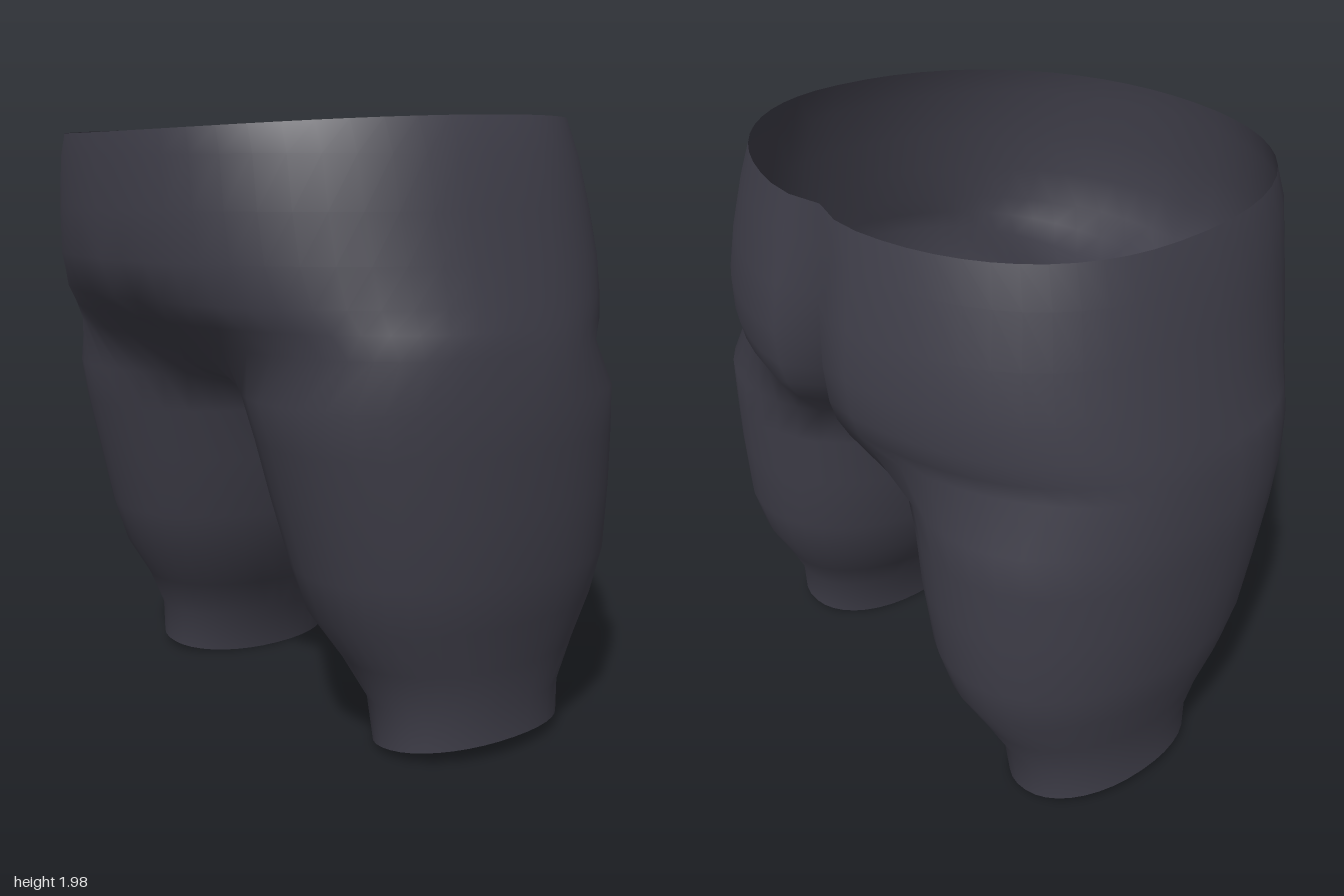
import * as THREE from 'three';
import { mergeVertices } from 'three/addons/utils/BufferGeometryUtils.js';

const OUTER = 28; // columns from front centre round the hip to back centre
const INNER = 10; // columns from back centre through the crotch to the front
const COLS = OUTER + INNER;
const SPLIT = 0.75; // how far the front and back seams turn inwards on a leg

// leg sections: y, inner x, outer x, front z, back z, dip of the inner side
const LEG = [
  [0.00, 0.42, 0.86, 0.20, -0.49, 0],
  [0.16, 0.39, 0.86, 0.21, -0.50, 0],
  [0.30, 0.30, 0.89, 0.28, -0.57, 0],
  [0.45, 0.21, 0.93, 0.38, -0.65, 0],
  [0.60, 0.16, 0.965, 0.43, -0.69, 0],
  [0.82, 0.105, 0.985, 0.485, -0.705, 0],
  [1.00, 0.075, 0.995, 0.53, -0.71, 0],
  [1.14, 0.03, 1.00, 0.56, -0.715, 0.07],
];

// hip sections: y, side x, front z, back z, front squareness, front dip, back cleft
const HIP = [
  [1.29, 0.985, 0.62, -0.76, 2.9, 0.07, 0.12],
  [1.36, 0.975, 0.69, -0.80, 2.5, 0.01, 0.13],
  [1.43, 0.96, 0.77, -0.82, 2.2, 0, 0.12],
  [1.55, 0.935, 0.815, -0.83, 2.1, 0, 0.10],
  [1.70, 0.90, 0.825, -0.81, 2.1, 0, 0.08],
  [1.86, 0.865, 0.825, -0.77, 2.1, 0, 0.06],
  [1.97, 0.82, 0.82, -0.74, 2.1, 0, 0.04],
];

const power = (v, n) => Math.sign(v) * Math.abs(v) ** (2 / n);

function legPoint([y, xi, xo, zf, zb, dip], j) {
  const s = (j - OUTER) / INNER;
  const a = j <= OUTER
    ? -SPLIT + (j / OUTER) * (Math.PI + 2 * SPLIT)
    : Math.PI + SPLIT + s * (Math.PI - 2 * SPLIT);
  const x = (xi + xo) / 2 + ((xo - xi) / 2) * power(Math.sin(a), 2.15);
  const z = (zf + zb) / 2 + ((zf - zb) / 2) * power(Math.cos(a), 2.15);
  let h = y - (s > 0 ? dip * Math.sin(Math.PI * s) : 0);
  if (y === 0) h = 0.05 * (x - xi) / (xo - xi); // slanted hem
  return [x, h, z];
}

function hipPoint([y, xs, zf, zb, n, dip, cleft], j) {
  const a = (j / OUTER) * Math.PI, c = Math.cos(a), mid = -0.1;
  const front = c >= 0, e = front ? n : 2.25;
  const x = j === 0 || j === OUTER ? 0 : xs * power(Math.sin(a), e);
  let z = mid + (front ? zf - mid : mid - zb) * power(c, e);
  z += front ? -dip * Math.exp(-((x / 0.15) ** 2)) : cleft * Math.exp(-((x / 0.09) ** 2));
  // waist edge falls gently to the front
  const h = y > 1.9 ? 1.978 - 0.034 * (z + 0.4) ** 2 : y;
  return [x, h, z];
}

// crotch seam on the centre line, closing the inside of each leg
function crotchPoint(j) {
  const s = (j - OUTER) / INNER;
  const back = hipPoint(HIP[0], OUTER), front = hipPoint(HIP[0], 0);
  const t = (1 - Math.cos(Math.PI * s)) / 2;
  return [0, HIP[0][0] - 0.19 * Math.sin(Math.PI * s) ** 0.8, back[2] + (front[2] - back[2]) * t];
}

function garmentGeometry() {
  const rows = LEG.map(r => Array.from({ length: COLS }, (_, j) => legPoint(r, j)));
  HIP.forEach((r, i) => {
    const row = Array.from({ length: OUTER + 1 }, (_, j) => hipPoint(r, j));
    if (i === 0) for (let j = OUTER + 1; j < COLS; j++) row.push(crotchPoint(j));
    rows.push(row);
  });

  const positions = [], index = [];
  for (const side of [1, -1]) {
    const starts = rows.map(row => {
      const start = positions.length / 3;
      row.forEach(([x, y, z]) => positions.push(x === 0 ? 0 : side * x, y, z));
      return start;
    });
    for (let i = 0; i < rows.length - 1; i++) {
      const count = i < LEG.length ? COLS : OUTER;
      for (let j = 0; j < count; j++) {
        if (rows[i + 1].length < COLS && j >= OUTER) continue;
        const k = (j + 1) % COLS;
        const a = starts[i] + j, b = starts[i] + k;
        const c = starts[i + 1] + k, d = starts[i + 1] + j;
        if (side > 0) index.push(a, b, c, a, c, d);
        else index.push(a, c, b, a, d, c);
      }
    }
  }
  const raw = new THREE.BufferGeometry();
  raw.setAttribute('position', new THREE.Float32BufferAttribute(positions, 3));
  raw.setIndex(index);
  const geometry = mergeVertices(raw, 1e-4); // joins the halves along the centre seam
  geometry.computeVertexNormals();
  return geometry;
}

export function createModel() {
  const group = new THREE.Group();
  group.name = 'shorts';
  const cloth = new THREE.MeshStandardMaterial({ color: 0x3e3d48, side: THREE.DoubleSide });
  cloth.name = 'charcoal cloth';
  const body = new THREE.Mesh(garmentGeometry(), cloth);
  body.name = 'shortsBody';
  group.add(body);
  return group;
}
